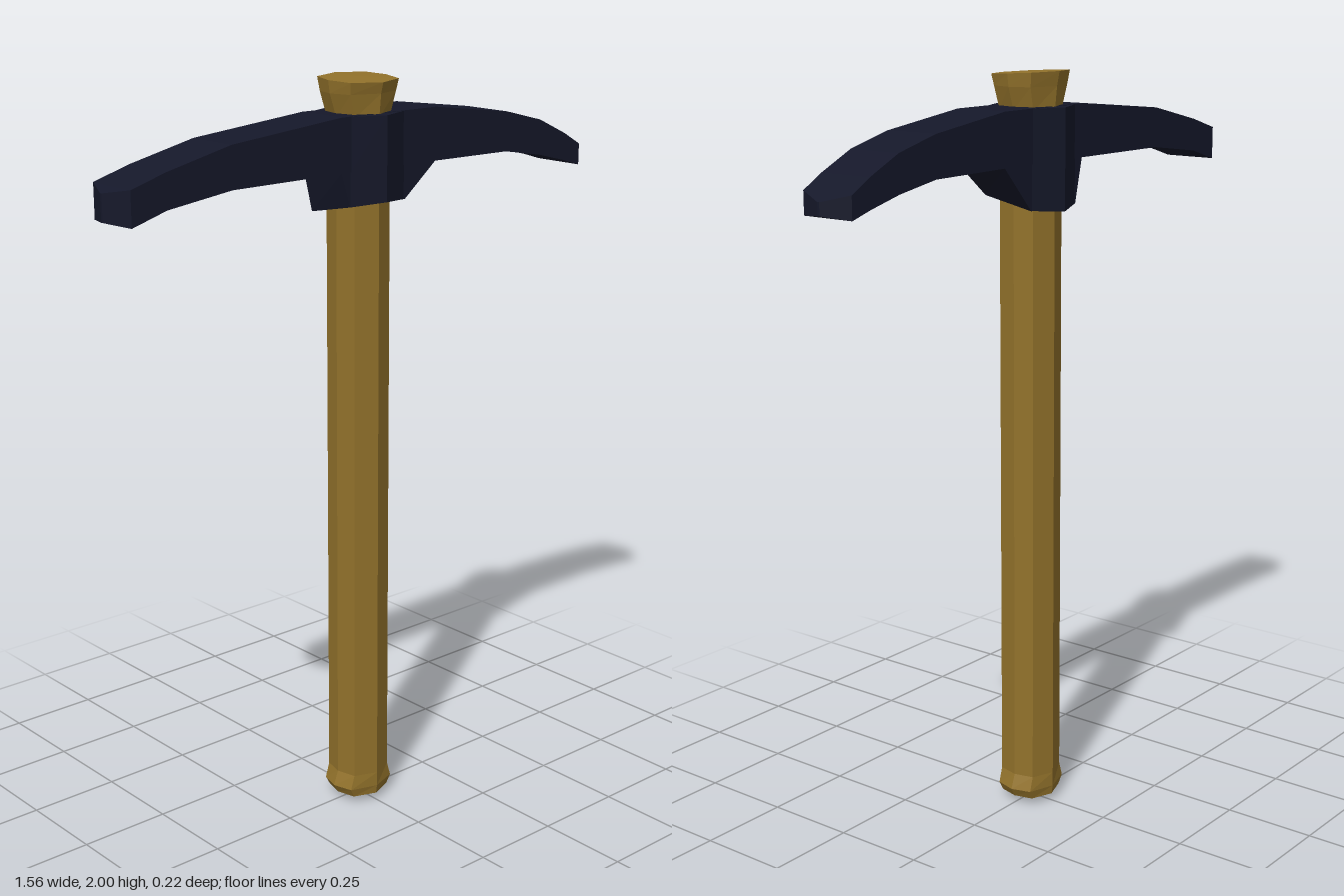
import * as THREE from 'three';

// Skin a list of rings (each wound counter-clockwise seen from the far end) and close both ends
function loft(rings, startCap, endCap) {
  const pos = [];
  const n = rings[0].length;
  const centre = (ring) => [0, 1, 2].map((k) => ring.reduce((s, p) => s + p[k], 0) / n);
  const first = rings[0], last = rings[rings.length - 1];
  const c0 = startCap || centre(first), c1 = endCap || centre(last);
  for (let i = 0; i < n; i++) {
    const j = (i + 1) % n;
    for (let r = 0; r < rings.length - 1; r++) {
      const a = rings[r], b = rings[r + 1];
      pos.push(...a[i], ...a[j], ...b[j], ...a[i], ...b[j], ...b[i]);
    }
    pos.push(...c0, ...first[j], ...first[i], ...c1, ...last[i], ...last[j]);
  }
  const geo = new THREE.BufferGeometry();
  geo.setAttribute('position', new THREE.Float32BufferAttribute(pos, 3));
  geo.computeVertexNormals();
  return geo;
}

function part(name, geometry, color) {
  const mesh = new THREE.Mesh(geometry, new THREE.MeshStandardMaterial({ color, flatShading: true }));
  mesh.name = name;
  return mesh;
}

export function createModel() {
  const WOOD = 0x92722b, IRON = 0x15182a;
  const group = new THREE.Group();
  group.name = 'pickaxe';

  // Handle: eight-sided shaft, flared at the foot and at the top
  const octagon = [[0, 0.08], [0.06, 0.055], [0.073, 0], [0.06, -0.053],
    [0, -0.077], [-0.062, -0.053], [-0.075, 0], [-0.062, 0.055]];
  const handleRing = ([y, sx, sz, tilt = 0]) =>
    octagon.map(([x, z]) => [x * sx, y - z * tilt, z * sz]);
  const handleRings = [
    [0.02, 1.0, 0.95], [0.045, 1.2, 1.0], [0.085, 1, 1], [1.9, 0.98, 1],
    [1.96, 1.25, 1.08], [1.993, 1.32, 1.18, 0.06],
  ].map(handleRing);
  group.add(part('handle', loft(handleRings, [0, 0, 0], [0, 1.995, 0]), WOOD));

  // Head: curved bar with wedge-shaped ends; x, top, bottom, half width
  const W = 0.075;
  const bar = [
    [-0.78, 1.79, 1.722, 0.003], [-0.75, 1.803, 1.715, W], [-0.65, 1.833, 1.745, W],
    [-0.46, 1.877, 1.77, W], [-0.12, 1.91, 1.772, W], [0.2, 1.91, 1.772, W],
    [0.46, 1.876, 1.77, W], [0.59, 1.843, 1.748, W], [0.69, 1.797, 1.723, W],
    [0.75, 1.763, 1.705, W], [0.78, 1.745, 1.713, 0.003],
  ].map(([x, top, bottom, w]) => [[x, top, -w], [x, top, w], [x, bottom, w], [x, bottom, -w]]);
  group.add(part('head', loft(bar), IRON));

  // Collar: ridged front and back, tapering down to a slanted lower rim
  const collarRing = ([y, left, right, slant]) => [
    [0, 0.11], [0.09, 0.074], [right, 0.074], [right, -0.074], [0.09, -0.074],
    [0, -0.11], [-0.09, -0.074], [left, -0.074], [left, 0.074], [-0.09, 0.074],
  ].map(([x, z]) => [x, y + z * slant, z]);
  const collar = [
    [1.67, -0.092, 0.094, 0.2], [1.772, -0.12, 0.2, 0], [1.909, -0.092, 0.092, 0],
  ].map(collarRing);
  group.add(part('collar', loft(collar), IRON));

  return group;
}
